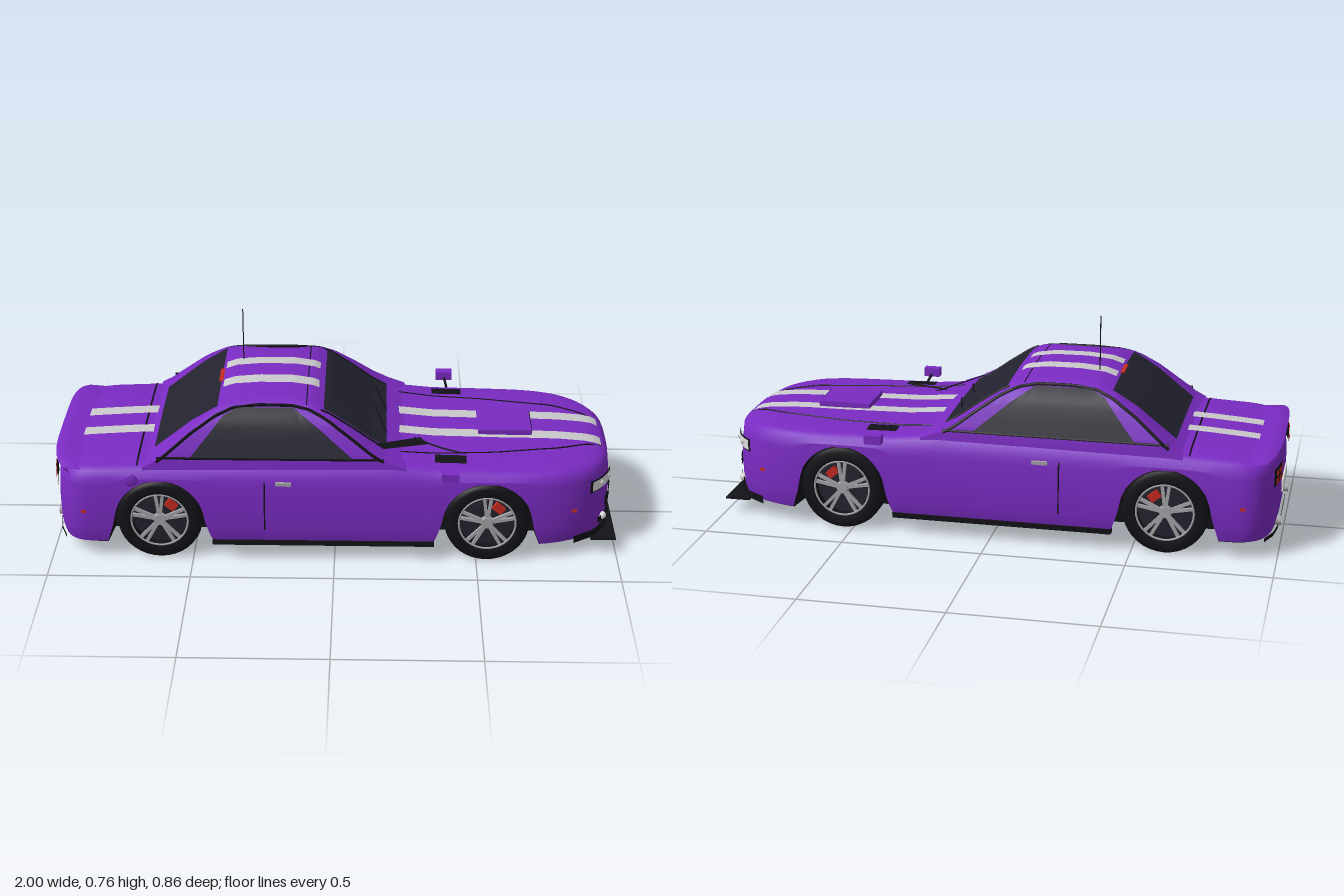
import * as THREE from 'three';
import { mergeVertices } from 'three/addons/utils/BufferGeometryUtils.js';

const paint = (name, color) => new THREE.MeshStandardMaterial({ name, color, side: THREE.DoubleSide });
const purple = paint('purple paint', 0x7a2bc2), black = paint('black trim', 0x121217), glass = paint('dark glass', 0x23232f),
  white = paint('stripe white', 0xc9c9cc), chrome = paint('chrome', 0xa4a4a8), red = paint('red', 0xc42a20), lamp = paint('lamp', 0xdcdcdc);

// Piecewise linear lookup
function interp(pts, t) {
  if (t <= pts[0][0]) return pts[0][1];
  for (let i = 1; i < pts.length; i++) {
    const [a, p] = pts[i - 1], [b, q] = pts[i];
    if (t <= b) return p + (q - p) * (t - a) / (b - a);
  }
  return pts[pts.length - 1][1];
}

// Plan outline: rounded nose and tail
const HALF = 0.375, NP = 3.2, TP = 4;
const corner = (t, p) => Math.pow(Math.max(0, 1 - Math.pow(Math.min(1, Math.abs(t)), p)), 1 / p);
const widthAt = x => HALF * (x > 0.485 ? corner((x - 0.485) / 0.5, NP) : x < -0.8 ? corner((x + 0.8) / 0.19, TP) : 1);
const noseX = z => 0.485 + 0.5 * corner(z / HALF, NP);
const tailX = z => -0.8 - 0.19 * corner(z / HALF, TP);
const AXLES = [-0.615, 0.535], WHEEL_Y = 0.15;

// Body heights
const deck = x => interp([[-0.99, 0.345], [-0.93, 0.352], [-0.8, 0.357], [-0.62, 0.365], [0.2, 0.372],
  [0.35, 0.358], [0.6, 0.353], [0.8, 0.352], [0.93, 0.346], [0.985, 0.336]], x);
const SHOULDER = [[0.012, 0.034], [0.025, 0.022], [0.045, 0.012], [0.09, 0.005], [0.17, 0.002], [0.26, 0], [HALF, 0]];
const topY = (x, z) => deck(x) - interp(SHOULDER, Math.min(widthAt(x) - Math.abs(z), noseX(z) - x, x - tailX(z)));
const wallInset = y => interp([[0.06, 0.012], [0.1, 0.002], [0.18, 0], [0.25, 0.003], [0.31, 0.01]], y);
function archY(x) {
  const d = Math.min(...AXLES.map(a => Math.abs(x - a)));
  if (d < 0.15) return Math.min(0.302, 0.145 + Math.sqrt(0.16 ** 2 - d * d));
  return interp([[0.15, 0.2], [0.165, 0.13], [0.19, 0.062]], d);
}

// Cabin profile (along x) and side lean (by height)
const roof = x => interp([[-0.67, 0.35], [-0.63, 0.372], [-0.57, 0.42], [-0.5, 0.477], [-0.42, 0.528], [-0.36, 0.549], [-0.27, 0.557],
  [-0.15, 0.556], [-0.08, 0.545], [-0.02, 0.517], [0.06, 0.462], [0.13, 0.41], [0.18, 0.382], [0.25, 0.355]], x);
const sideZ = y => interp([[0.33, 0.352], [0.39, 0.345], [0.45, 0.322], [0.5, 0.3], [0.53, 0.275], [0.548, 0.248], [0.557, 0.215]], y);
const cabinTop = (x, z) => roof(x) + 0.01 * (1 - (z / sideZ(roof(x))) ** 2);

export function createModel() {
  const car = new THREE.Group();
  car.name = 'sportsCar';
  const add = (name, geo, mat, x = 0, y = 0, z = 0, parent = car) => {
    const m = new THREE.Mesh(geo, mat);
    m.name = name;
    m.position.set(x, y, z);
    parent.add(m);
    return m;
  };
  const box = (name, w, h, d, mat, x, y, z, parent) => add(name, new THREE.BoxGeometry(w, h, d), mat, x, y, z, parent);
  // Grid of points f(u, v) as a smooth surface
  const surface = (name, f, nu, nv, mat) => {
    const pos = [], idx = [];
    for (let i = 0; i <= nu; i++) for (let j = 0; j <= nv; j++) pos.push(...f(i / nu, j / nv));
    for (let i = 0; i < nu; i++) for (let j = 0; j < nv; j++) {
      const a = i * (nv + 1) + j, b = a + nv + 1;
      idx.push(a, a + 1, b, b, a + 1, b + 1);
    }
    let g = new THREE.BufferGeometry();
    g.setAttribute('position', new THREE.Float32BufferAttribute(pos, 3));
    g.setIndex(idx);
    g = mergeVertices(g, 1e-5);
    g.computeVertexNormals();
    return add(name, g, mat);
  };
  const mix = THREE.MathUtils.lerp;
  const line = (name, pts, r, mat = black) => add(name, new THREE.TubeGeometry(
    new THREE.CatmullRomCurve3(pts.map(p => new THREE.Vector3(...p))), Math.max(4, pts.length * 3), r, 5), mat);
  const along = (a, b, n, f) => Array.from({ length: n + 1 }, (_, i) => f(mix(a, b, i / n)));
  const nosePatch = (name, z0, z1, y0, y1, off, mat) =>
    surface(name, (u, v) => { const z = mix(z0, z1, u); return [noseX(z) + off, mix(y0, y1, v), z]; }, 14, 1, mat);
  const tailPatch = (name, z0, z1, y0, y1, off, mat) =>
    surface(name, (u, v) => { const z = mix(z0, z1, u); return [tailX(z) - off, mix(y0, y1, v), z]; }, 10, 1, mat);

  // Body shell: rings that climb the walls and close over the deck
  const half = [...along(0, widthAt(0.87), 16, z => [noseX(z), z]), ...along(0.87, -0.95, 150, x => [x, widthAt(x)]).slice(1),
    ...along(widthAt(-0.95), 0, 16, z => [tailX(z), z]).slice(1)];
  const outline = [...half, ...half.slice(0, -1).reverse().map(([x, z]) => [x, -z])];
  const WALL = 9, RINGS = WALL + SHOULDER.length - 1;
  surface('bodyShell', (u, v) => {
    const [x, z] = outline[Math.round(u * (outline.length - 1))], k = Math.round(v * RINGS);
    const wallY = mix(archY(x), 0.311, k / WALL);
    const d = k <= WALL ? wallInset(wallY) : SHOULDER[k - WALL][0], s = d / HALF;
    const px = mix(x, THREE.MathUtils.clamp(x, -0.65, 0.6), s);
    return [px, k <= WALL ? wallY : deck(px) - SHOULDER[k - WALL][1], z * (1 - s)];
  }, outline.length - 1, RINGS, purple);

  // Underbody with notches for the wheels
  const floor = new THREE.Shape(outline.slice(0, -1).map(([x, z]) => {
    const inWell = AXLES.some(a => Math.abs(x - a) < 0.2);
    return new THREE.Vector2(x * 0.98, -(inWell ? Math.sign(z) * Math.min(Math.abs(z), 0.25) : z * 0.955));
  }));
  add('underbody', new THREE.ExtrudeGeometry(floor, { depth: 0.24, bevelEnabled: false }).rotateX(-Math.PI / 2), black, 0, 0.058, 0);

  // Cabin shell: leaning sides, then across the top
  surface('cabin', (u, v) => {
    const x = mix(-0.67, 0.25, u), k = Math.round(v * 32), s = k < 16 ? -1 : 1, m = k < 16 ? k : 32 - k, T = roof(x);
    if (m <= 9) { const y = mix(0.33, T, m / 9); return [x, y, s * sideZ(y)]; }
    const z = s * sideZ(T) * (1 - (m - 9) / 7);
    return [x, cabinTop(x, z), z];
  }, 70, 32, purple);
  const topPatch = (name, x0, x1, z0, z1, mat, h = cabinTop) => surface(name, (u, v) => {
    const x = mix(x0, x1, u), z = mix(z0, z1, v);
    return [x, h(x, z) + 0.004, z];
  }, 40, 8, mat);
  topPatch('windshield', -0.04, 0.18, -0.248, 0.248, glass);
  topPatch('rearWindow', -0.635, -0.41, -0.245, 0.245, glass);
  for (const z of [-0.077, 0.077]) {
    topPatch('roofStripe', -0.4, -0.06, z - 0.029, z + 0.029, white);
    topPatch('hoodStripe', 0.2, 0.95, z - 0.029, z + 0.029, white, topY);
    topPatch('trunkStripe', -0.93, -0.65, z - 0.029, z + 0.029, white, topY);
  }
  line('roofSeam', along(-0.25, 0.25, 8, z => [-0.1, cabinTop(-0.1, z), z]), 0.002);
  line('trunkSeam', along(-0.335, 0.335, 12, z => [-0.69, topY(-0.69, z), z]), 0.0035);
  box('highBrakeLight', 0.014, 0.01, 0.1, red, -0.412, 0.541, 0);
  add('antenna', new THREE.CylinderGeometry(0.002, 0.002, 0.21, 6), black, -0.34, 0.655, -0.097);

  // Scoop and tail lip
  box('hoodScoop', 0.19, 0.04, 0.17, purple, 0.605, 0.356, 0);
  box('scoopMouth', 0.006, 0.016, 0.15, black, 0.7, 0.366, 0);
  surface('tailLip', (u, v) => {
    const z = mix(-0.34, 0.34, u), k = v * 2;
    const x = tailX(z) + (k < 1 ? mix(0.09, -0.004, k) : mix(-0.004, 0.03, k - 1));
    return [x, (k < 1 ? mix(0.35, 0.358, k) : mix(0.358, 0.325, k - 1)) - 0.02 * (z / 0.34) ** 6, z];
  }, 20, 4, purple);

  // Nose
  nosePatch('grille', -0.22, 0.22, 0.143, 0.19, 0.005, black);
  for (const y of [0.158, 0.168, 0.178]) nosePatch('grilleSlat', -0.21, 0.21, y, y + 0.003, 0.008, glass);
  box('frontPlate', 0.006, 0.036, 0.195, lamp, 0.991, 0.128, 0);
  nosePatch('chinTrim', -0.33, 0.33, 0.054, 0.082, 0.004, black);
  box('splitter', 0.09, 0.006, 0.6, black, 0.954, 0.053, 0);
  // Tail
  box('rearPlate', 0.006, 0.045, 0.19, lamp, -0.993, 0.18, 0);
  tailPatch('rearTrim', -0.33, 0.33, 0.056, 0.07, 0.002, black);

  for (const s of [-1, 1]) {
    // Side glass and its trim
    surface('sideWindow', (u, v) => {
      const x = mix(-0.5, 0.06, u);
      const y = mix(0.39, interp([[-0.5, 0.392], [-0.39, 0.522], [-0.34, 0.543], [-0.14, 0.543], [-0.06, 0.49], [0.06, 0.392]], x), v);
      return [x, y, s * (sideZ(y) + 0.004)];
    }, 40, 8, glass);
    line('roofTrim', along(-0.62, 0.17, 30, x => { const y = roof(x) - 0.009; return [x, y, s * sideZ(y)]; }), 0.006);
    line('beltTrim', along(-0.62, 0.17, 8, x => [x, 0.385, s * 0.345]), 0.005);
    line('pillarSeam', along(-0.05, 0.18, 8, x => [x, cabinTop(x, 0.258) + 0.002, s * 0.258]), 0.004);
    line('hoodSeam', along(0.2, 0.95, 14, x => {
      const z = interp([[0.2, 0.245], [0.55, 0.215], [0.8, 0.17], [0.95, 0.1]], x);
      return [x, topY(x, z) + 0.001, s * z];
    }), 0.0025);

    // Doors
    line('doorSeam', along(0.12, 0.33, 6, y => [-0.245, y, s * (HALF - interp([[0.06, 0], [0.25, 0.003], [0.31, 0.01], [0.33, 0.023]], y))]), 0.003);
    box('doorHandle', 0.055, 0.012, 0.012, chrome, -0.178, 0.3, s * 0.37);
    box('sill', 0.78, 0.018, 0.03, black, -0.04, 0.066, s * 0.358);
    // Mirrors
    box('mirror', 0.06, 0.032, 0.034, purple, 0.4, 0.36, s * 0.415);
    line('mirrorArm', [[0.41, 0.328, s * 0.36], [0.405, 0.343, s * 0.385], [0.4, 0.355, s * 0.405]], 0.005);
    topPatch('hoodVent', 0.35, 0.46, s * 0.247, s * 0.3, black, topY);
    box('frontMarker', 0.018, 0.01, 0.008, red, 0.84, 0.185, s * widthAt(0.84));
    box('rearMarker', 0.018, 0.01, 0.008, red, -0.88, 0.185, s * widthAt(-0.88));

    // Lamps and pipes
    nosePatch('headlightFrame', s * 0.167, s * 0.299, 0.236, 0.284, 0.005, black);
    nosePatch('headlight', s * 0.172, s * 0.294, 0.241, 0.279, 0.008, lamp);
    for (const z of [0.2, 0.255]) add('headlightBulb', new THREE.SphereGeometry(0.011, 12, 8), white, noseX(z) + 0.004, 0.26, s * z);
    nosePatch('fogRecess', s * 0.168, s * 0.262, 0.096, 0.12, 0.005, black);
    add('fogLamp', new THREE.SphereGeometry(0.014, 14, 10), lamp, noseX(0.23) + 0.004, 0.113, s * 0.23);
    tailPatch('tailLightFrame', s * 0.17, s * 0.285, 0.24, 0.305, 0.005, black);
    for (const z of [0.182, 0.216, 0.25]) for (const y of [0.247, 0.276])
      tailPatch('tailLight', s * z, s * (z + 0.026), y, y + 0.022, 0.009, red);
    add('exhaustPipe', new THREE.CylinderGeometry(0.017, 0.017, 0.07, 14, 1, true).rotateZ(Math.PI / 2), chrome, -0.965, 0.08, s * 0.17);
    add('exhaustBore', new THREE.CircleGeometry(0.0165, 14).rotateY(-Math.PI / 2), black, -0.985, 0.08, s * 0.17);

    // Wheels
    for (const ax of AXLES) {
      add('wheelWell', new THREE.CylinderGeometry(0.165, 0.165, 0.11, 24, 1, true, Math.PI / 2, Math.PI).rotateX(Math.PI / 2),
        black, ax, 0.136, s * 0.305);
      const wheel = new THREE.Group();
      wheel.name = 'wheel';
      wheel.position.set(ax, WHEEL_Y, s * 0.32);
      if (s < 0) wheel.scale.z = -1;
      car.add(wheel);
      const lathe = pts => new THREE.LatheGeometry(pts.map(p => new THREE.Vector2(...p)), 36).rotateX(Math.PI / 2);
      add('tire', lathe([[0.1, -0.05], [0.135, -0.05], [0.147, -0.042], [0.15, -0.03], [0.15, 0.03], [0.147, 0.042], [0.135, 0.05],
        [0.108, 0.05], [0.1, 0.044], [0.1, -0.05]]), black, 0, 0, 0, wheel);
      add('wheelBack', new THREE.CircleGeometry(0.101, 28), glass, 0, 0, 0.01, wheel);
      add('rimEdge', new THREE.TorusGeometry(0.1, 0.004, 6, 36), chrome, 0, 0, 0.045, wheel);
      add('brakeDisc', new THREE.CylinderGeometry(0.07, 0.07, 0.006, 24).rotateX(Math.PI / 2), glass, 0, 0, 0.016, wheel);
      box('brakeCaliper', 0.04, 0.028, 0.016, red, 0.04, 0.05, 0.024, wheel).rotation.z = -0.7;
      add('hub', new THREE.CylinderGeometry(0.02, 0.024, 0.016, 16).rotateX(Math.PI / 2), chrome, 0, 0, 0.038, wheel);
      for (let i = 0; i < 5; i++) for (const o of [-0.13, 0.13]) {
        const a = Math.PI / 2 + i * Math.PI * 0.4 + o;
        box('spoke', 0.088, 0.011, 0.01, chrome, Math.cos(a) * 0.056, Math.sin(a) * 0.056, 0.038, wheel).rotation.z = a;
      }
    }
  }

  // Wipers and cowl intake
  for (const z of [-0.06, 0.12])
    line('wiper', along(0, 1, 5, t => { const x = 0.18 - 0.04 * t, w = z - 0.16 * t + 0.04; return [x, cabinTop(x, w) + 0.009, w]; }), 0.003);
  surface('cowlIntake', (u, v) => [mix(0.14, 0.3, u) + 0.03 * v, mix(0.41, 0.372, u) - 0.012 * v, mix(0.27, 0.14, u) + mix(0.015, 0.03, u) * v],
    6, 2, black);
  line('intakeRod', [[0.28, 0.376, 0.15], [0.36, 0.366, 0.2], [0.44, 0.361, 0.235]], 0.003);
  add('fuelCap', new THREE.SphereGeometry(0.025, 16, 10).scale(1, 1, 0.3), purple, -0.71, 0.308, 0.366);
  return car;
}
